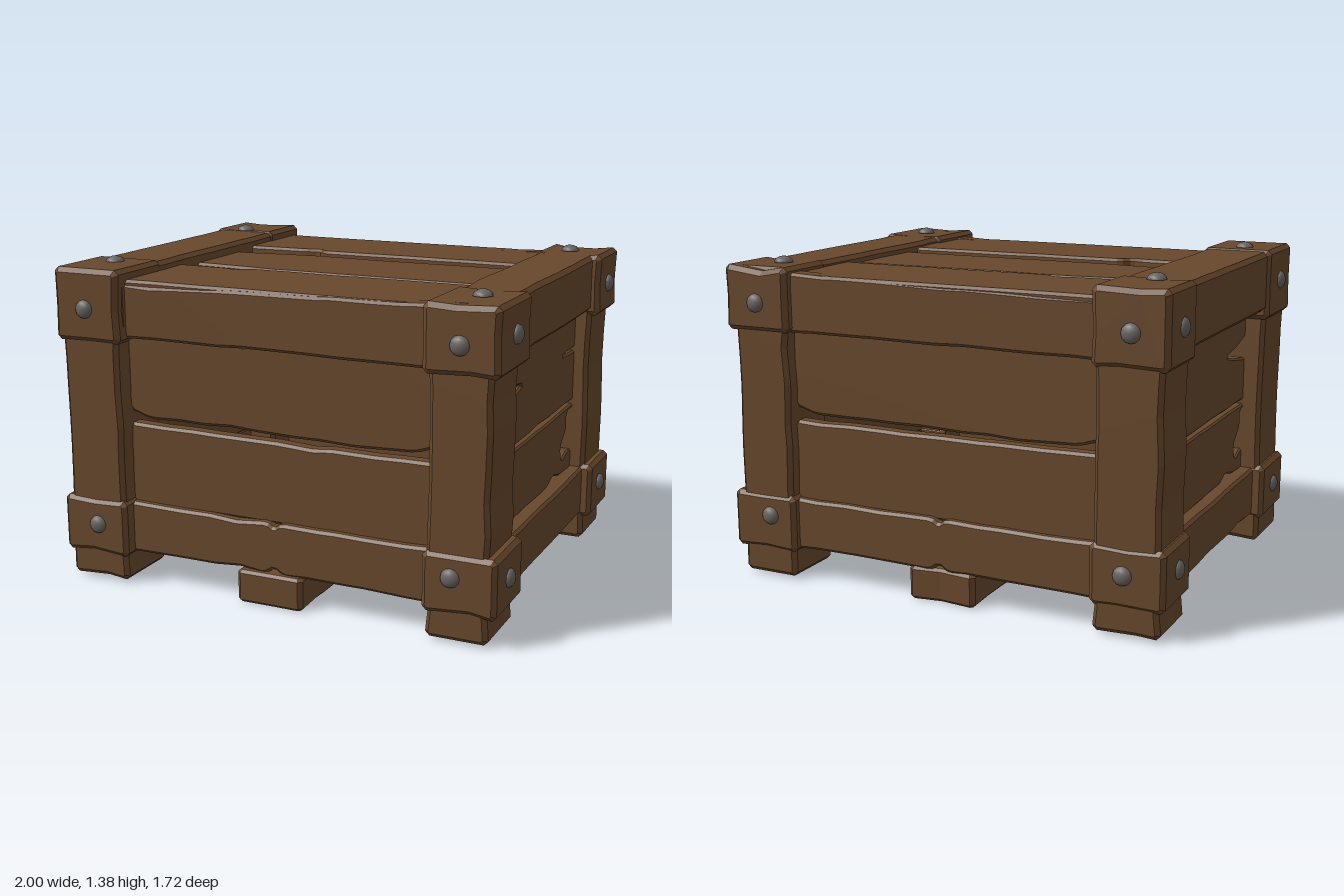
import * as THREE from 'three';

const wood = new THREE.MeshStandardMaterial({ color: 0x68482c, flatShading: true });
wood.name = 'brown wood';
const metal = new THREE.MeshStandardMaterial({ color: 0x686664 });
metal.name = 'grey iron';

// Small seeded generator for the worn edges
let seed = 11;
const rand = () => {
  seed = (seed * 16807) % 2147483647;
  return seed / 2147483647;
};

const rect = (u0, u1, v0, v1) => [[u0, v0], [u1, v0], [u1, v1], [u0, v1]];
const flip = (pts) => pts.map(([u, v]) => [-u, v]).reverse();

// Subdivide a counter-clockwise outline, dent its edges inwards and clip its corners
function weather(pts, wear) {
  const out = [];
  pts.forEach(([ax, ay], i) => {
    const [bx, by] = pts[(i + 1) % pts.length];
    const len = Math.hypot(bx - ax, by - ay);
    const dx = (bx - ax) / len, dy = (by - ay) / len;
    const clip = Math.min(0.018, len * 0.2);
    out.push(new THREE.Vector2(ax + dx * clip, ay + dy * clip));
    const n = Math.floor(len / 0.13);
    for (let k = 1; k < n; k++) {
      const t = (k + (rand() - 0.5) * 0.6) / n * len;
      const dent = wear * rand() * (rand() > 0.88 ? 2.5 : 1);
      out.push(new THREE.Vector2(ax + dx * t - dy * dent, ay + dy * t + dx * dent));
    }
    out.push(new THREE.Vector2(bx - dx * clip, by - dy * clip));
  });
  return out;
}

export function createModel() {
  const crate = new THREE.Group();
  crate.name = 'crate';

  // Board cut from an outline, between n0 and n1 along its normal.
  // front: u = x, v = y, n = z; side: u = -z, v = y, n = x; top: u = x, v = -z, n = y
  function board(name, face, pts, n0, n1, bevel = 0.012, wear = 0.006) {
    const geo = new THREE.ExtrudeGeometry(new THREE.Shape(weather(pts, wear)), {
      depth: n1 - n0 - 2 * bevel, bevelEnabled: true, bevelThickness: bevel,
      bevelSize: bevel, bevelOffset: -bevel, bevelSegments: 1,
    });
    geo.translate(0, 0, n0 + bevel);
    if (face === 'side') geo.rotateY(Math.PI / 2);
    if (face === 'top') geo.rotateX(-Math.PI / 2);
    const mesh = new THREE.Mesh(geo, wood);
    mesh.name = name;
    crate.add(mesh);
  }

  // Corner posts with upper and lower corner blocks
  for (const sx of [-1, 1]) {
    for (const sz of [-1, 1]) {
      const span = (a, b, s) => (s > 0 ? [a, b] : [-b, -a]);
      const [px0, px1] = span(0.68, sx > 0 ? 0.94 : 0.96, sx);
      const [pz0, pz1] = span(sz > 0 ? 0.49 : 0.535, sz > 0 ? 0.795 : 0.82, sz);
      board('cornerPost', 'front', rect(px0, px1, 0.015, 1.12), pz0, pz1, 0.018, 0.01);
      const [cx0, cx1] = span(0.67, sx > 0 ? 0.975 : 0.98, sx);
      const [tz0, tz1] = span(sz > 0 ? 0.46 : 0.53, sx < 0 && sz > 0 ? 0.81 : 0.835, sz);
      board('upperCornerBlock', 'front',
        rect(cx0, cx1, sx > 0 ? 1.07 : 1.05, sx > 0 ? 1.342 : 1.357), tz0, tz1, 0.02, 0.008);
      const [bz0, bz1] = span(sz > 0 ? 0.485 : 0.53, sz > 0 ? 0.81 : 0.83, sz);
      board('lowerCornerBlock', 'front', rect(cx0, cx1, 0.125, 0.373), bz0, bz1, 0.018, 0.008);
    }
  }

  // Top rails running front to back
  board('topRail', 'top', rect(-0.972, -0.672, -0.78, 0.8), 1.09, 1.35, 0.018, 0.008);
  board('topRail', 'top', rect(0.672, 0.942, -0.8, 0.8), 1.09, 1.337, 0.018, 0.008);

  // Front and back walls
  const upperWall = [[-0.7, 0.755], [-0.6, 0.722], [0.35, 0.712], [0.6, 0.722], [0.7, 0.755],
    [0.7, 1.09], [-0.7, 1.09]];
  const lowerWall = [[-0.7, 0.34], [0.7, 0.34], [0.7, 0.692], [-0.7, 0.7]];
  const topEdge = [[-0.7, 1.068], [0.7, 1.068], [0.7, 1.318], [-0.7, 1.295]];
  const bottomEdge = [[-0.7, 0.137], [-0.04, 0.137], [0, 0.165], [0.04, 0.137], [0.7, 0.132],
    [0.7, 0.36], [0.03, 0.36], [0, 0.34], [-0.03, 0.36], [-0.7, 0.36]];
  board('frontUpperPlank', 'front', upperWall, 0.64, 0.705);
  board('frontLowerPlank', 'front', lowerWall, 0.64, 0.71);
  board('frontTopBoard', 'front', topEdge, 0.65, 0.745);
  board('frontBottomBoard', 'front', bottomEdge, 0.65, 0.745);
  board('backUpperPlank', 'front', flip(upperWall), -0.755, -0.69);
  board('backLowerPlank', 'front', lowerWall, -0.76, -0.69);
  board('backTopBoard', 'front', topEdge, -0.792, -0.7);
  board('backBottomBoard', 'front', flip(bottomEdge), -0.792, -0.7);

  // Side walls with a split upper plank and a broken lower plank
  const splitPlank = [[-0.53, 0.675], [0.56, 0.675], [0.56, 0.905], [0.34, 0.915], [0.56, 0.922],
    [0.56, 1.12], [-0.53, 1.12], [-0.53, 0.975], [-0.38, 0.935], [-0.22, 0.915],
    [-0.37, 0.885], [-0.53, 0.865]];
  const brokenPlank = [[-0.53, 0.35], [0.18, 0.355], [0.27, 0.385], [0.36, 0.36], [0.56, 0.35],
    [0.56, 0.44], [0.48, 0.45], [0.4, 0.42], [0.37, 0.49], [0.46, 0.56], [0.45, 0.63],
    [0.56, 0.64], [0.56, 0.66], [-0.53, 0.66]];
  for (const s of [-1, 1]) {
    const layer = (a, b) => (s > 0 ? [a, b] : [-b, -a]);
    board('sideUpperPlank', 'side', splitPlank, ...layer(0.8, 0.87), 0.008, 0.004);
    board('sideLowerPlank', 'side', s > 0 ? brokenPlank : flip(brokenPlank),
      ...layer(0.8, 0.87), 0.008, 0.004);
    board('sideTopBoard', 'side', rect(-0.5, 0.56, 1.095, 1.3), ...layer(0.78, 0.925));
    board('sideBottomBoard', 'side', rect(-0.52, 0.56, 0.137, 0.362), ...layer(0.8, 0.93));
  }

  // Lid planks with a lower plank showing through the gaps
  board('lidBackPlank', 'top', [[-0.7, 0.348], [-0.4, 0.36], [-0.33, 0.378], [-0.29, 0.338],
    [0.7, 0.338], [0.7, 0.79], [-0.7, 0.79]], 1.235, 1.312);
  board('lidMiddlePlank', 'top', [[-0.7, -0.145], [-0.3, -0.18], [0.7, -0.18], [0.7, 0.272],
    [-0.3, 0.275], [-0.7, 0.235]], 1.22, 1.3);
  board('lidFrontPlank', 'top', [[-0.7, -0.738], [0.7, -0.738], [0.7, -0.255], [-0.36, -0.255],
    [-0.4, -0.3], [-0.46, -0.28], [-0.7, -0.275]], 1.235, 1.312);
  board('lidUnderPlank', 'top', rect(-0.7, 0.7, -0.29, 0.332), 1.16, 1.222);

  // Floor planks and centre skid
  for (const [v0, v1] of [[-0.7, -0.24], [-0.235, 0.333], [0.352, 0.74]]) {
    board('floorPlank', 'top', rect(-0.86, 0.86, v0, v1), 0.14, 0.19, 0.005, 0.002);
  }
  board('centreSkid', 'top', rect(-0.162, 0.137, -0.77, 0.8), 0.005, 0.145, 0.012, 0.008);

  // Domed bolts on every outer face
  const dome = new THREE.SphereGeometry(0.04, 12, 4, 0, Math.PI * 2, 0, Math.PI / 2);
  dome.scale(1, 0.65, 1);
  const up = new THREE.Vector3(0, 1, 0);
  function bolt(x, y, z, nx, ny, nz) {
    const mesh = new THREE.Mesh(dome, metal);
    mesh.name = 'bolt';
    mesh.position.set(x, y, z);
    mesh.quaternion.setFromUnitVectors(up, new THREE.Vector3(nx, ny, nz));
    crate.add(mesh);
  }
  for (const [x, y, zf, zb] of [[-0.83, 1.19, 0.808, -0.833], [0.82, 1.19, 0.833, -0.833],
    [-0.81, 0.26, 0.808, -0.828], [0.79, 0.28, 0.808, -0.828]]) {
    bolt(x, y, zf, 0, 0, 1);
    bolt(x, y, zb, 0, 0, -1);
  }
  for (const [z, y] of [[0.64, 1.21], [-0.68, 1.2], [0.65, 0.255], [-0.67, 0.26]]) {
    bolt(0.973, y, z, 1, 0, 0);
    bolt(-0.976, y, z, -1, 0, 0);
  }
  for (const [x, y, z] of [[-0.83, 1.354, -0.57], [-0.83, 1.354, 0.57],
    [0.8, 1.34, -0.65], [0.83, 1.34, 0.62]]) {
    bolt(x, y, z, 0, 1, 0);
  }
  return crate;
}
